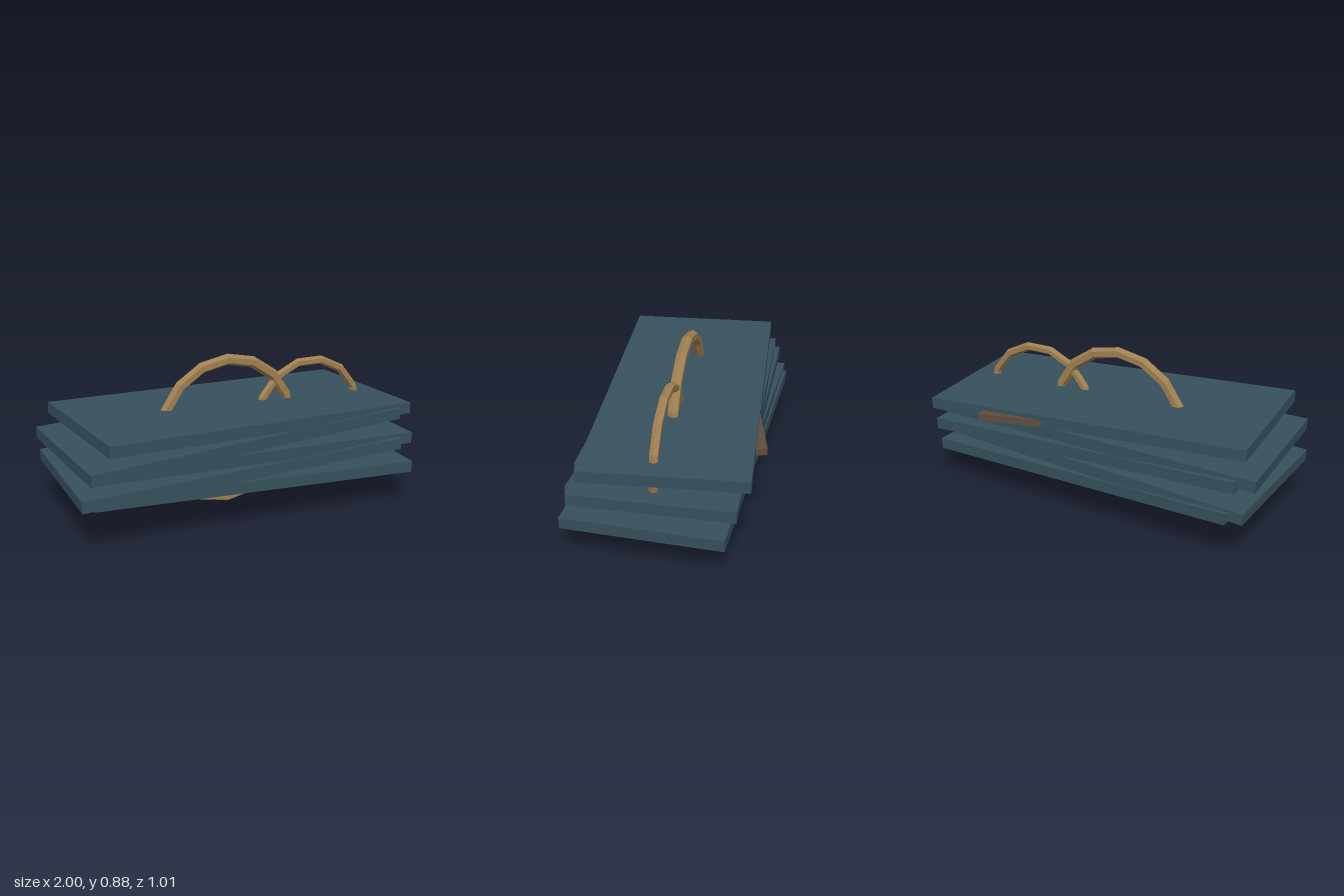
import * as THREE from 'three';

const slate = new THREE.MeshStandardMaterial({ color: 0x36505c, flatShading: true });
slate.name = 'slate blue';
const brass = new THREE.MeshStandardMaterial({ color: 0xa08050, flatShading: true });
brass.name = 'brass';
const darkWood = new THREE.MeshStandardMaterial({ color: 0x5f4d3d, flatShading: true });
darkWood.name = 'dark wood';

const deg = THREE.MathUtils.degToRad;

function addMesh(group, name, geometry, material, position, yaw = 0, tilt = 0) {
  const mesh = new THREE.Mesh(geometry, material);
  mesh.name = name;
  mesh.position.set(...position);
  mesh.rotation.set(0, deg(yaw), deg(tilt)); // tilt first, then yaw
  group.add(mesh);
  return mesh;
}

export function createModel() {
  const model = new THREE.Group();
  model.name = 'foldedPanelsWithRings';

  // Zigzag stack of panels, bottom to top, slowly fanning round
  const panel = new THREE.BoxGeometry(1.875, 0.064, 0.853);
  const yaws = [-3.1, -1.9, 0, 2.2, 3.85];
  yaws.forEach((yaw, i) => {
    const even = i % 2 === 0;
    addMesh(model, `panel${i + 1}`, panel, slate,
      [even ? 0.032 : -0.047, 0.246 + i * 0.0785, 0.0135], yaw, even ? -2 : 2);
  });

  // Two interlocked faceted rings passing through the stack
  addMesh(model, 'largeRing', new THREE.TorusGeometry(0.407, 0.032, 6, 16), brass, [-0.005, 0.44, 0.018]);
  addMesh(model, 'smallRing', new THREE.TorusGeometry(0.34, 0.025, 6, 14), brass, [0.525, 0.445, 0.018]);

  // Slim bar poking out of the back of the top panel
  addMesh(model, 'bar', new THREE.BoxGeometry(0.7, 0.038, 0.07), darkWood, [0.253, 0.537, -0.397], 13, -1);

  return model;
}
